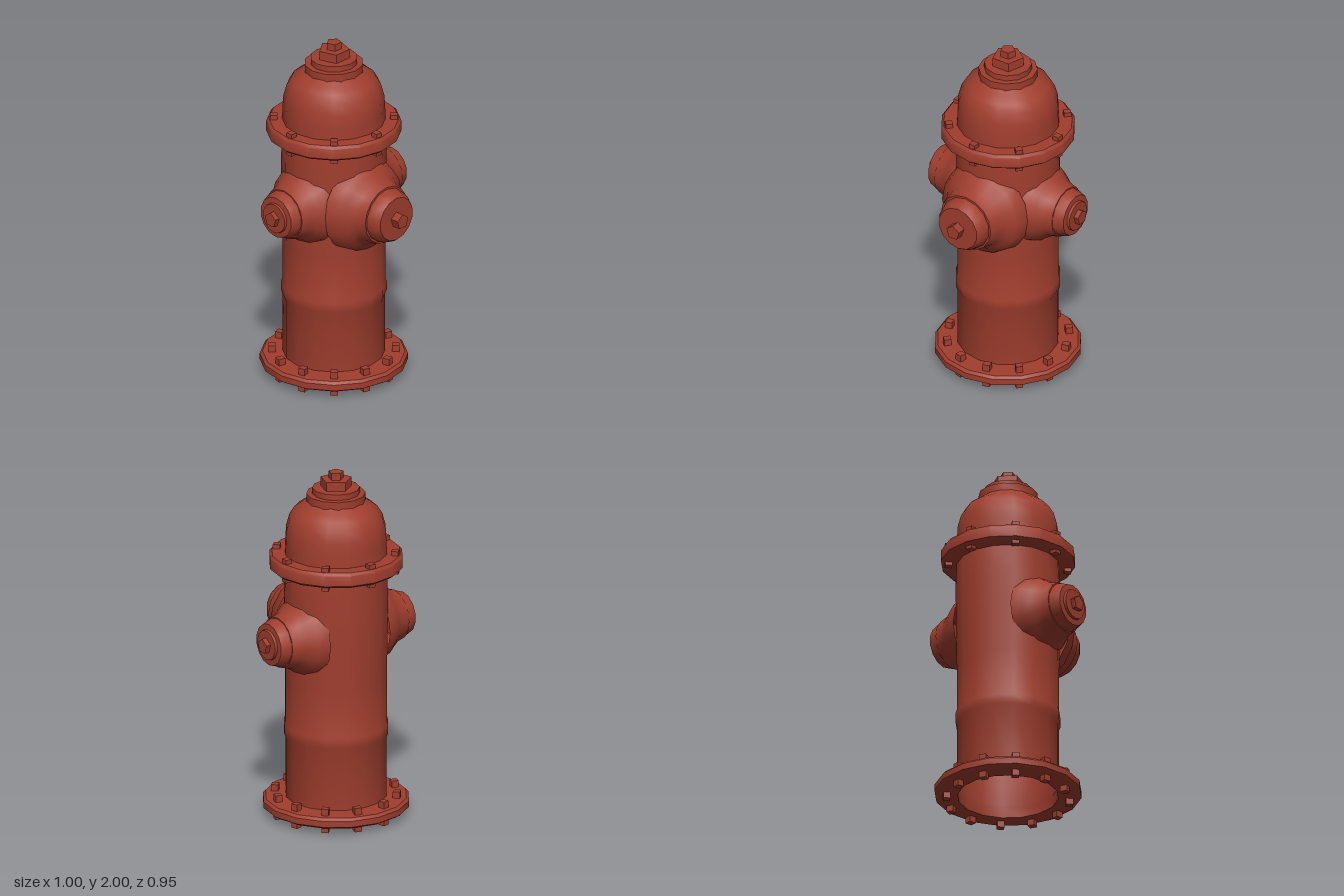
import * as THREE from 'three';
import { toCreasedNormals } from 'three/addons/utils/BufferGeometryUtils.js';

const AXIS_Z = -0.066;
const NOZZLE_Y = 1.075;

export function createModel() {
  const red = new THREE.MeshStandardMaterial({ color: 0xa03e2e, side: THREE.DoubleSide });
  red.name = 'hydrant red';

  const hydrant = new THREE.Group();
  hydrant.name = 'hydrant';
  const barrel = new THREE.Group();
  barrel.name = 'barrelAssembly';
  barrel.position.z = AXIS_Z;
  hydrant.add(barrel);

  function add(parent, name, geometry) {
    const mesh = new THREE.Mesh(geometry, red);
    mesh.name = name;
    parent.add(mesh);
    return mesh;
  }
  // Turned part from [radius, height] points, with sharp edges kept
  function turned(points, sides = 16, crease = 0.75) {
    const profile = points.map(([r, y]) => new THREE.Vector2(r, y));
    return toCreasedNormals(new THREE.LatheGeometry(profile, sides), crease);
  }
  // Ring of square studs passing through a flange
  function bolts(name, count, radius, y0, y1, offset) {
    const ring = new THREE.Group();
    ring.name = name;
    const geometry = new THREE.BoxGeometry(0.04, y1 - y0, 0.04);
    for (let i = 0; i < count; i++) {
      const a = offset + (i / count) * Math.PI * 2;
      const bolt = add(ring, 'bolt', geometry);
      bolt.position.set(Math.sin(a) * radius, (y0 + y1) / 2, Math.cos(a) * radius);
      bolt.rotation.y = a;
    }
    barrel.add(ring);
  }

  // Open barrel with a raised band
  add(barrel, 'barrel', turned([
    [0.283, 0.04], [0.283, 0.45], [0.293, 0.475], [0.293, 0.525], [0.285, 0.55],
    [0.285, 0.8], [0.29, 1.05], [0.292, 1.3], [0.285, 1.46],
  ]));

  // Base flange, open in the middle
  add(barrel, 'baseFlange', turned([
    [0.28, 0.035], [0.385, 0.035], [0.41, 0.05], [0.41, 0.085], [0.395, 0.1], [0.28, 0.105], [0.28, 0.035],
  ]));
  bolts('baseBolts', 12, 0.342, 0, 0.14, Math.PI / 12);

  // Bonnet flange
  add(barrel, 'bonnetFlange', turned([
    [0.27, 1.44], [0.355, 1.44], [0.374, 1.455], [0.374, 1.515], [0.36, 1.53], [0.27, 1.53],
  ]));
  bolts('bonnetBolts', 8, 0.332, 1.42, 1.555, 0);

  // Domed bonnet
  add(barrel, 'bonnet', turned([
    [0.287, 1.52], [0.284, 1.6], [0.28, 1.67], [0.262, 1.735], [0.235, 1.78], [0.195, 1.81], [0.16, 1.835],
  ]));

  // Stepped crown and five-sided operating nut
  add(barrel, 'crownStep', turned([[0.165, 1.825], [0.165, 1.875], [0.0, 1.875]], 12));
  add(barrel, 'crownPlate', turned([[0.132, 1.87], [0.132, 1.908], [0.0, 1.908]], 12));
  add(barrel, 'nutCollar', turned([[0.09, 1.9], [0.09, 1.96], [0, 1.96]], 5)).rotation.y = Math.PI;
  add(barrel, 'operatingNut', turned([[0.043, 1.95], [0.043, 2], [0, 2]], 5)).rotation.y = Math.PI;

  // Outlet: flared neck, cap and nut, built along +z and then turned
  function outlet(name, angle, neck, cap, nutStart, nutEnd) {
    const group = new THREE.Group();
    group.name = name;
    group.position.y = NOZZLE_Y;
    group.rotation.y = angle;
    barrel.add(group);
    const parts = [
      ['neck', turned(neck, 16, 1)],
      ['cap', turned(cap, 14)],
      ['capNut', turned([[0.044, nutStart], [0.044, nutEnd], [0, nutEnd]], 5)],
    ];
    for (const [part, geometry] of parts) {
      geometry.rotateX(Math.PI / 2);
      if (part === 'capNut') geometry.rotateZ(Math.PI);
      add(group, part, geometry);
    }
  }
  const sideNeck = [[0.235, 0.2], [0.215, 0.26], [0.185, 0.3], [0.16, 0.34], [0.145, 0.395], [0, 0.395]];
  const sideCap = [[0.14, 0.385], [0.138, 0.405], [0.12, 0.455], [0.088, 0.458], [0.085, 0.472], [0, 0.472]];
  outlet('leftOutlet', Math.PI / 2, sideNeck, sideCap, 0.46, 0.5);
  outlet('rightOutlet', -Math.PI / 2, sideNeck, sideCap, 0.46, 0.5);

  const frontNeck = [[0.275, 0.2], [0.25, 0.28], [0.215, 0.305], [0.185, 0.345], [0.168, 0.411], [0, 0.411]];
  const frontCap = [[0.157, 0.405], [0.157, 0.42], [0.143, 0.465], [0.128, 0.487], [0, 0.487]];
  outlet('frontOutlet', 0, frontNeck, frontCap, 0.48, 0.537);

  return hydrant;
}
